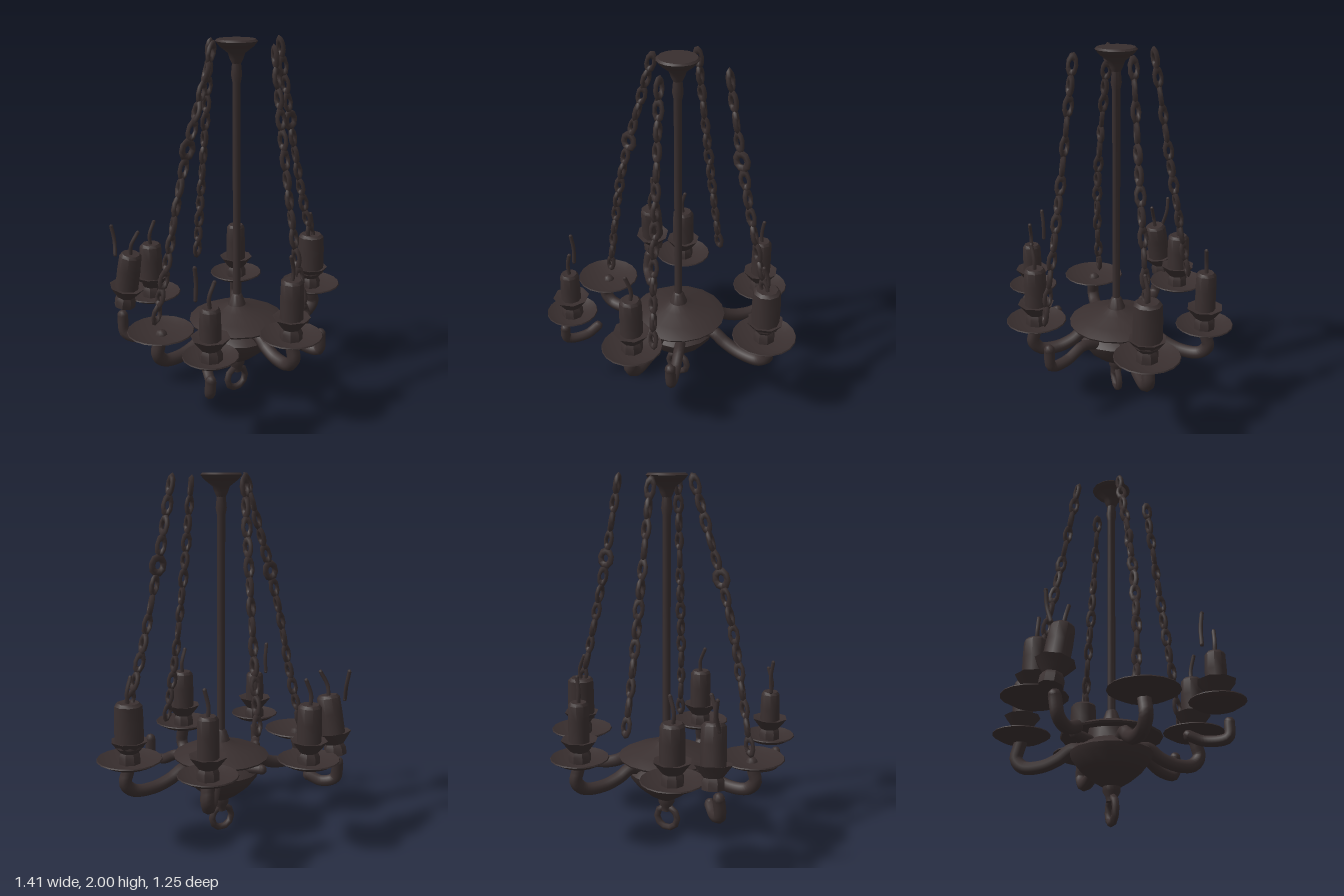
import * as THREE from 'three';
import { toCreasedNormals } from 'three/addons/utils/BufferGeometryUtils.js';

const iron = new THREE.MeshStandardMaterial({ color: 0x392f2f, side: THREE.DoubleSide });
iron.name = 'dark iron';

const V = (x, y, z) => new THREE.Vector3(x, y, z);

function part(parent, name, geometry) {
  const mesh = new THREE.Mesh(geometry, iron);
  mesh.name = name;
  parent.add(mesh);
  return mesh;
}

// Turned part from [radius, height] pairs, with creases kept sharp
function turned(profile, sides) {
  const g = new THREE.LatheGeometry(profile.map(([r, y]) => new THREE.Vector2(r, y)), sides);
  return toCreasedNormals(g, 0.7);
}

// Bent round bar with closed ends
function bar(parent, name, points, radius, sides = 8) {
  const group = new THREE.Group();
  group.name = name;
  const curve = new THREE.CatmullRomCurve3(points);
  part(group, name + 'Bar', new THREE.TubeGeometry(curve, points.length * 4, radius, sides));
  [points[0], points[points.length - 1]].forEach((p) => {
    part(group, name + 'End', new THREE.SphereGeometry(radius, sides, 5)).position.copy(p);
  });
  parent.add(group);
}

// Cup, candle and bent wick; standing on the height of its drip tray
function candle(parent, r, top, bend) {
  const group = new THREE.Group();
  group.name = 'candle';
  part(group, 'candleCup', turned([
    [0, 0.5], [0.06, 0.51], [0.06, 0.55], [0.05, 0.57], [0.07, 0.595],
    [0.1, 0.635], [0.085, 0.632], [0.03, 0.615], [0, 0.615]], 8));
  part(group, 'candleBody', turned([
    [0, 0.6], [r, 0.6], [r, top - 0.1], [r * 0.95, top - 0.015], [r * 0.75, top], [0, top - 0.005]], 9));
  bar(group, 'wick', [V(0, top - 0.02, 0), V(-bend * 0.3, top + 0.05, 0), V(bend, top + 0.13, 0.01)], 0.011, 5);
  parent.add(group);
  return group;
}

// Shallow drip tray
function tray(parent, r) {
  return part(parent, 'dripTray', turned([
    [0, 0.485], [0.06, 0.488], [r * 0.7, 0.502], [r, 0.53], [r * 0.98, 0.536],
    [r * 0.68, 0.515], [0, 0.508]], 18));
}

// Chain of alternating links along a path
function chain(parent, name, points, bigLink = -1, gap = -1) {
  const group = new THREE.Group();
  group.name = name;
  const curve = new THREE.CatmullRomCurve3(points);
  const count = Math.round(curve.getLength() / 0.1);
  const up = V(0, 1, 0);
  for (let i = 0; i < count; i++) {
    if (i === gap) continue;
    const t = (i + 0.5) / count;
    const big = i === bigLink;
    const link = part(group, 'link', new THREE.TorusGeometry(0.022, 0.012, 5, 9));
    link.position.copy(curve.getPointAt(t));
    link.quaternion.setFromUnitVectors(up, curve.getTangentAt(t));
    link.rotateY(big ? 0 : (i % 2) * Math.PI / 2 + 0.35 * Math.sin(i * 2.3));
    link.scale.set(big ? 1.5 : 0.92, big ? 1.8 : 1.9, 1.15);
  }
  parent.add(group);
}

export function createModel() {
  const model = new THREE.Group();
  model.name = 'chandelier';
  const cx = -0.025;

  // Ceiling cup and central rod
  part(model, 'ceilingCup', turned([
    [0.02, 1.87], [0.035, 1.9], [0.045, 1.93], [0.09, 1.965], [0.11, 1.99], [0.1, 2], [0, 2]], 16))
    .position.x = cx;
  part(model, 'rod', turned([[0.022, 0.5], [0.022, 1.78], [0.03, 1.82], [0.022, 1.9]], 10)).position.x = cx;

  // Wide cover above the hub, open underneath
  part(model, 'hubCover', turned([
    [0.2, 0.455], [0.262, 0.452], [0.267, 0.462], [0.2, 0.495], [0.1, 0.52],
    [0.05, 0.545], [0.03, 0.6], [0.02, 0.61]], 18)).position.x = cx;

  // Hub bowl and lower neck
  part(model, 'hubBowl', turned([
    [0, 0.12], [0.028, 0.125], [0.03, 0.15], [0.045, 0.175], [0.045, 0.2], [0.1, 0.235], [0.16, 0.285],
    [0.205, 0.345], [0.215, 0.375], [0.19, 0.4], [0.13, 0.43], [0.12, 0.5]], 16)).position.x = cx;

  // Ring hanging below
  part(model, 'bottomRing', new THREE.TorusGeometry(0.064, 0.019, 7, 10)).position.set(-0.03, 0.083, 0);

  // Arms that reach a candle: tray centre, tray radius, candle radius, candle top
  const lights = [
    { x: 0.53, z: 0, tray: 0.175, r: 0.078, top: 0.84, bend: -0.02, arm: true },
    { x: 0.285, z: -0.41, tray: 0.157, r: 0.057, top: 0.84, bend: 0.012, arm: true },
    { x: -0.29, z: -0.465, tray: 0.165, r: 0.066, top: 0.83, bend: 0.02, arm: false },
    { x: -0.53, z: 0, tray: 0.177, r: 0, arm: true },
    { x: -0.49, z: 0.39, tray: 0.142, r: 0.055, top: 0.79, bend: 0.02, arm: false },
    { x: -0.025, z: 0.46, tray: 0.165, r: 0.062, top: 0.84, bend: -0.02, arm: true },
  ];
  lights.forEach((l) => {
    const light = new THREE.Group();
    light.name = 'lightHolder';
    tray(light, l.tray);
    if (l.r) candle(light, l.r, l.top, l.bend);
    light.position.set(l.x, 0, l.z);
    model.add(light);
    if (!l.arm) return;
    const dx = l.x - cx;
    const at = (t, y) => V(cx + dx * t, y, l.z * t);
    bar(model, 'arm', [at(0.3, 0.4), at(0.42, 0.42), at(0.57, 0.375), at(0.75, 0.345),
      at(0.96, 0.35), at(1.05, 0.4), at(1.03, 0.45), at(1, 0.5)], 0.036);
  });

  // Arm without a tray, and broken arm pieces
  bar(model, 'bareArm', [V(0.09, 0.39, 0.16), V(0.13, 0.41, 0.24), V(0.17, 0.36, 0.34), V(0.205, 0.36, 0.43),
    V(0.205, 0.46, 0.44)], 0.03);
  bar(model, 'brokenArm', [V(-0.42, 0.37, 0.26), V(-0.45, 0.34, 0.33), V(-0.52, 0.345, 0.42),
    V(-0.52, 0.42, 0.43)], 0.028);
  bar(model, 'brokenArm', [V(-0.42, 0.36, -0.29), V(-0.47, 0.335, -0.35), V(-0.52, 0.36, -0.4),
    V(-0.52, 0.46, -0.42)], 0.032);
  bar(model, 'armStub', [V(-0.1, 0.41, -0.14), V(-0.15, 0.42, -0.23)], 0.028);

  // Leaning candle without a tray
  const leaning = candle(model, 0.066, 0.84, 0.02);
  leaning.name = 'leaningCandle';
  leaning.position.set(-0.53, 0.01, -0.52);
  leaning.rotation.set(0.17, 0, -0.07);

  // Loose wicks
  bar(model, 'looseWick', [V(-0.52, 0.81, 0.31), V(-0.515, 0.9, 0.31), V(-0.525, 0.98, 0.315)], 0.011, 5);
  bar(model, 'looseWick', [V(-0.53, 0.82, -0.45), V(-0.52, 0.9, -0.47), V(-0.53, 0.98, -0.48)], 0.011, 5);

  // Four chains
  chain(model, 'rightChain', [V(-0.54, 0.56, -0.04), V(-0.47, 0.9, -0.01), V(-0.41, 1.2, 0),
    V(-0.33, 1.5, 0), V(-0.29, 1.62, 0), V(-0.17, 1.99, 0)], 9);
  chain(model, 'leftChain', [V(0.53, 0.8, 0.01), V(0.46, 1.05, 0), V(0.36, 1.48, 0), V(0.26, 1.99, 0)], 7);
  chain(model, 'frontChain', [V(0.1, 0.56, 0.44), V(0.07, 0.9, 0.385), V(0.045, 1.4, 0.31), V(0.025, 1.98, 0.235)]);
  chain(model, 'backChain', [V(0, 0.7, -0.42), V(-0.01, 0.95, -0.375), V(-0.025, 1.45, -0.29), V(-0.04, 1.98, -0.205)]);

  return model;
}
